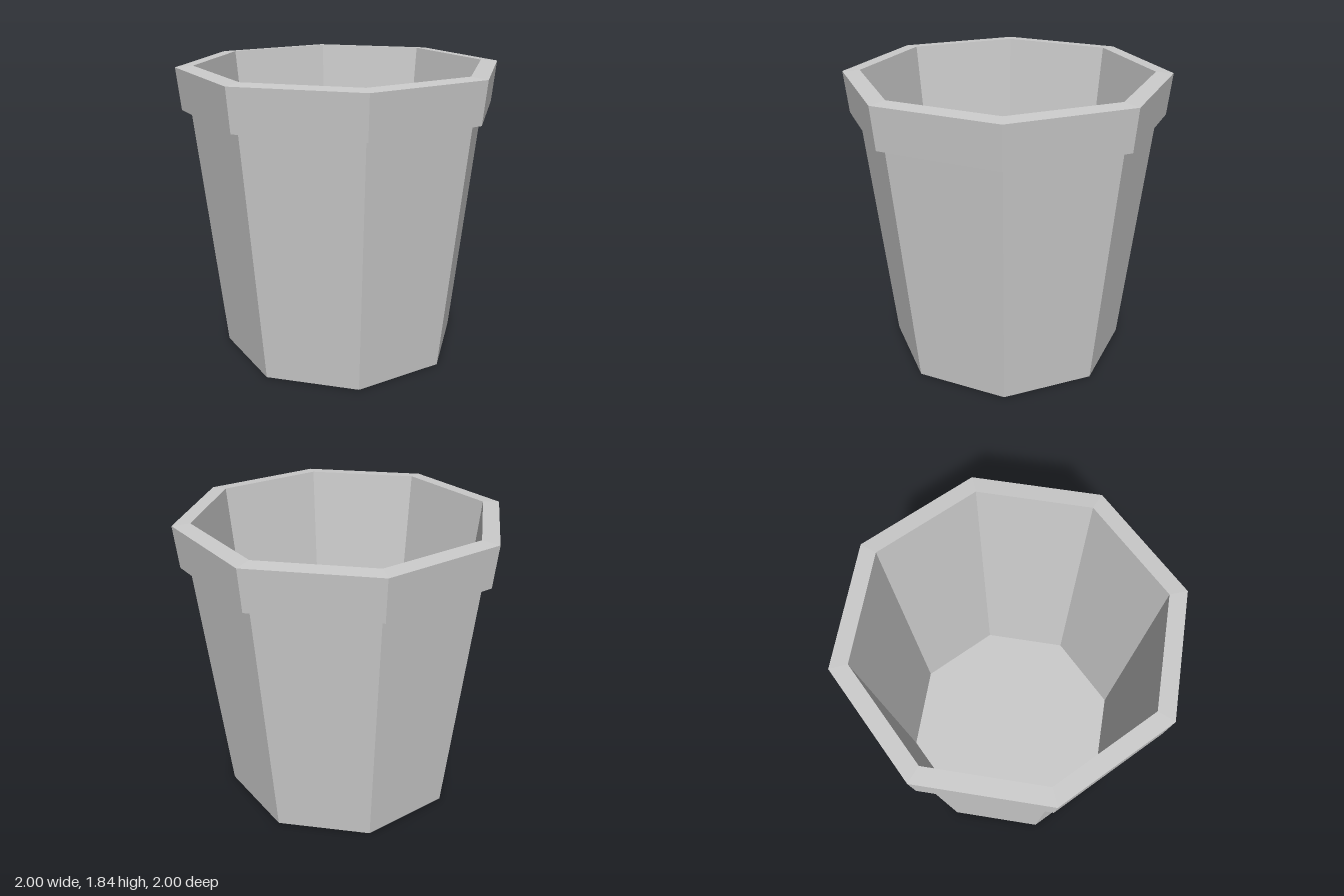
import * as THREE from 'three';

const SIDES = 8;

// Eight-sided surface turned from [radius, height] points, running from the outside bottom upwards
function turned(name, profile, material) {
  const points = profile.map(([r, y]) => new THREE.Vector2(r, y));
  const mesh = new THREE.Mesh(new THREE.LatheGeometry(points, SIDES), material);
  mesh.name = name;
  return mesh;
}

export function createModel() {
  const group = new THREE.Group();
  group.name = 'flowerPot';
  const material = new THREE.MeshStandardMaterial({ color: 0xcccccc, flatShading: true });

  // Closed base and tapering outer wall
  group.add(turned('outerWall', [[0, 0], [0.76, 0], [0.92, 1.57]], material));

  // Overhanging collar, its top rising slightly towards the opening
  group.add(turned('rim', [[0.92, 1.57], [0.975, 1.57], [1, 1.828], [0.893, 1.836]], material));

  // Hollow inside: wall parallel to the outer one, then the floor
  group.add(turned('interior', [[0.893, 1.836], [0.72, 0.17], [0, 0.17]], material));

  return group;
}
